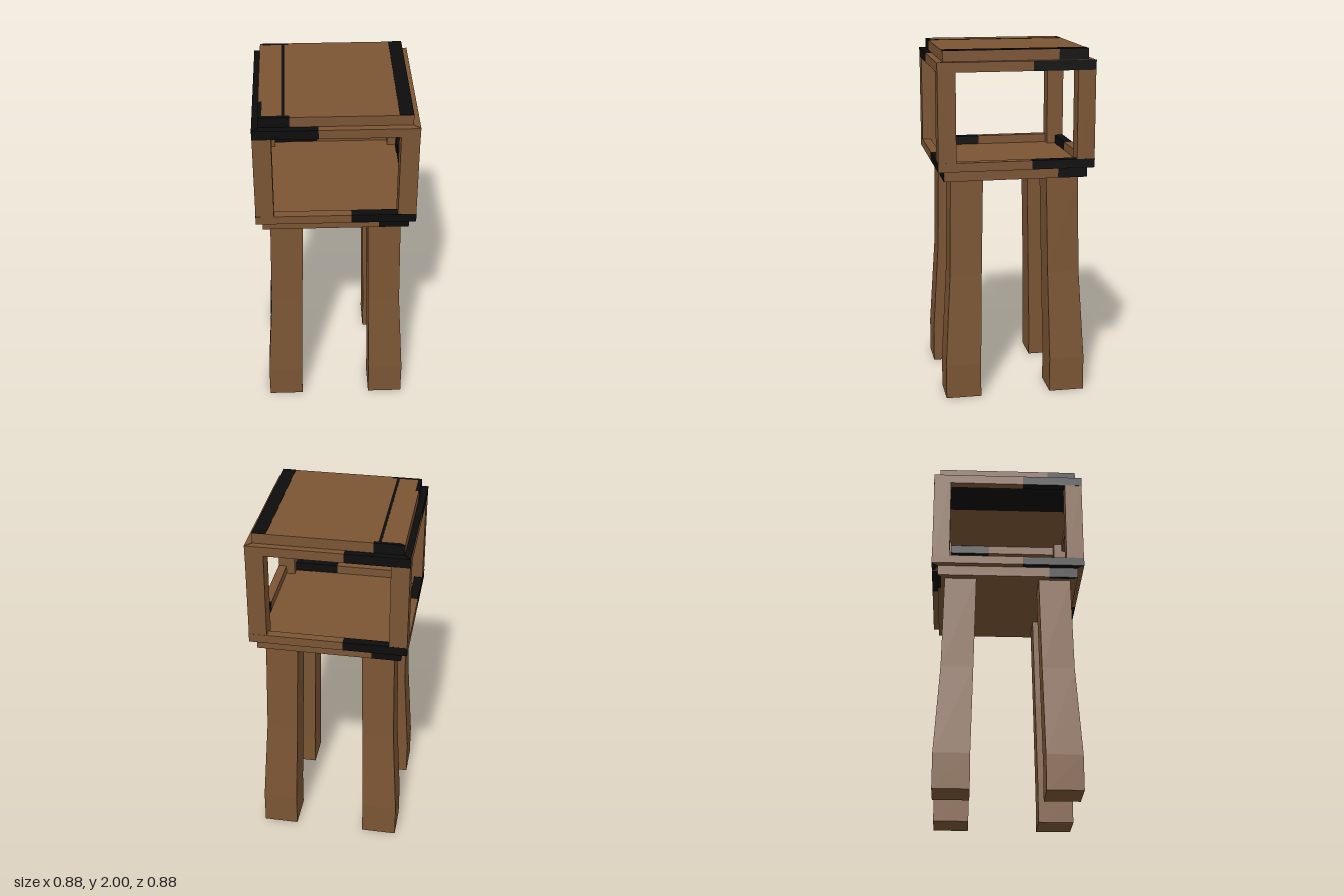
import * as THREE from 'three';

const wood = new THREE.MeshStandardMaterial({ color: 0x7b5534 });
wood.name = 'brown wood';
const black = new THREE.MeshStandardMaterial({ color: 0x0c0c0c });
black.name = 'black';

export function createModel() {
  const model = new THREE.Group();

  function add(name, geometry, material) {
    const mesh = new THREE.Mesh(geometry, material);
    mesh.name = name;
    model.add(mesh);
    return mesh;
  }

  // Box given by its minimum and maximum corners
  function box(name, [x0, y0, z0], [x1, y1, z1], material = wood) {
    const g = new THREE.BoxGeometry(x1 - x0, y1 - y0, z1 - z0);
    g.translate((x0 + x1) / 2, (y0 + y1) / 2, (z0 + z1) / 2);
    return add(name, g, material);
  }

  // Mitred bar along one side of a square, from a to b
  function bar(name, side, half, width, y0, y1, a, b, material) {
    const inner = half - width;
    const clamp = (s) => THREE.MathUtils.clamp(s, -inner, inner);
    const shape = new THREE.Shape([
      new THREE.Vector2(a, half), new THREE.Vector2(b, half),
      new THREE.Vector2(clamp(b), inner), new THREE.Vector2(clamp(a), inner),
    ]);
    const g = new THREE.ExtrudeGeometry(shape, { depth: y1 - y0, bevelEnabled: false });
    g.rotateX(Math.PI / 2).translate(0, y1, 0).rotateY(side * Math.PI / 2);
    add(name, g, material);
  }

  // Square ring (front, right, back, left), each side part black, part wood
  function ring(name, half, width, y0, y1, split, flipFront) {
    for (let side = 0; side < 4; side++) {
      const flip = flipFront && side === 0;
      const cut = flip ? -split : split;
      bar(name, side, half, width, y0, y1, -half, cut, flip ? black : wood);
      bar(name, side, half, width, y0, y1, cut, half, flip ? wood : black);
    }
  }

  // Seat and roof slabs with their edging
  box('seatSlab', [-0.385, 1.28, -0.385], [0.385, 1.34, 0.385]);
  ring('seatSlabEdge', 0.405, 0.02, 1.28, 1.34, 0.24, false);
  box('roofSlab', [-0.385, 1.94, -0.385], [0.385, 1.998, 0.385]);
  ring('roofSlabEdge', 0.405, 0.02, 1.94, 1.998, 0.24, true);

  // Lower and upper rails
  ring('lowerRail', 0.44, 0.05, 1.34, 1.39, 0.085, false);
  ring('upperRail', 0.44, 0.05, 1.885, 1.938, 0.09, true);
  for (let side = 0; side < 4; side++) {
    const left = side === 3;
    if (side % 2) bar('railCap', side, 0.44, 0.05, 1.938, 1.94, -0.44, 0.44, left ? black : wood);
  }

  // Painted stripes on the roof and the ceiling
  box('roofWideStripe', [0.33, 1.998, -0.405], [0.405, 2, 0.405], black);
  box('roofNarrowStripe', [-0.28, 1.998, -0.39], [-0.265, 2, 0.4], black);
  box('ceilingStripe', [-0.389, 1.936, -0.389], [-0.06, 1.941, 0.389], black);

  // Corner posts and tapered, splayed legs
  const levels = [[0, 0.203, 0.405], [0.2, 0.203, 0.405], [0.72, 0.192, 0.374], [1.28, 0.181, 0.364]];
  for (const sx of [-1, 1]) {
    for (const sz of [-1, 1]) {
      const post = box('cornerPost', [-0.05, 1.34, -0.05], [0.05, 1.935, 0.05]);
      post.position.set(sx * 0.389, 0, sz * 0.389);

      const g = new THREE.BoxGeometry(1, 1, 1, 1, 3, 1).toNonIndexed();
      const p = g.attributes.position;
      for (let i = 0; i < p.count; i++) {
        const [y, inside, outside] = levels[Math.round((p.getY(i) + 0.5) * 3)];
        const middle = (inside + outside) / 2, width = outside - inside;
        p.setXYZ(i, sx * middle + p.getX(i) * width, y, sz * middle + p.getZ(i) * width);
      }
      g.computeVertexNormals();
      add('leg', g, wood);
    }
  }
  return model;
}
